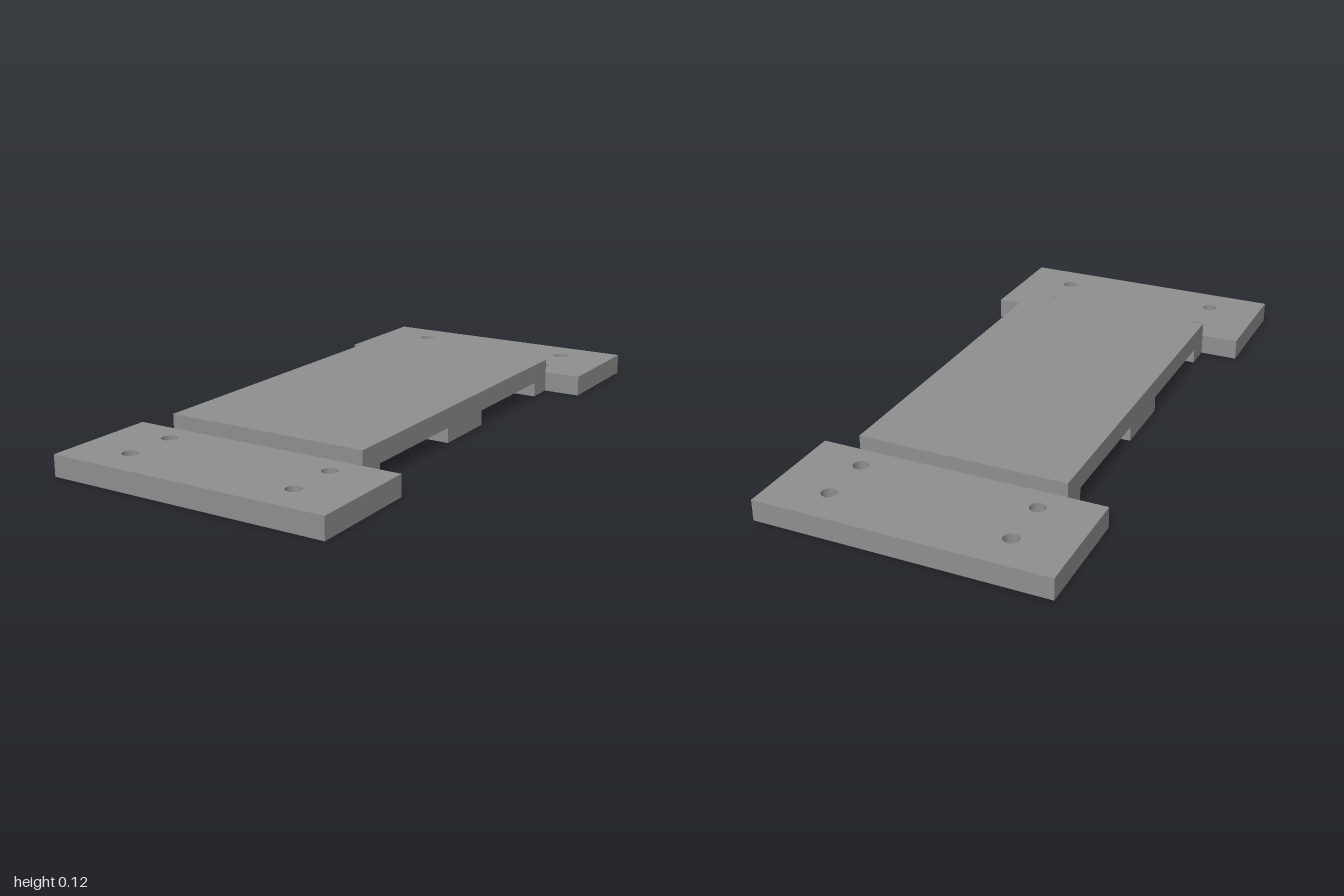
import * as THREE from 'three';

const material = new THREE.MeshStandardMaterial({ color: 0x8f8f8f });

function extrude(shape, depth) {
  return new THREE.ExtrudeGeometry(shape, { depth, bevelEnabled: false, curveSegments: 16 });
}

// Raised centre plate: side profile (z, y) with two grooves underneath
function makeDeck() {
  const width = 0.69, end = 0.618, top = 0.115, grooveTop = 0.05;
  const grooveOuter = 0.526, grooveInner = 0.115;
  const half = [
    [grooveInner, 0], [grooveInner, grooveTop], [grooveOuter, grooveTop],
    [grooveOuter, 0], [end, 0], [end, top],
  ];
  const mirrored = half.map(([z, y]) => [-z, y]).reverse();
  const profile = [...half, ...mirrored].map(([z, y]) => new THREE.Vector2(z, y));
  const geometry = extrude(new THREE.Shape(profile), width);
  geometry.translate(0, 0, -width / 2).rotateY(-Math.PI / 2);
  const deck = new THREE.Mesh(geometry, material);
  deck.name = 'deck';
  return deck;
}

// Wide mounting plate with four through holes
function makeMountingPlate(side) {
  const halfWidth = 0.472, inner = 0.618, outer = 1, thickness = 0.069;
  const shape = new THREE.Shape([
    new THREE.Vector2(-halfWidth, inner), new THREE.Vector2(halfWidth, inner),
    new THREE.Vector2(halfWidth, outer), new THREE.Vector2(-halfWidth, outer),
  ]);
  for (const x of [-0.29, 0.29]) {
    for (const z of [0.703, 0.876]) {
      const hole = new THREE.Path();
      hole.absarc(x, z, 0.025, 0, Math.PI * 2, true);
      shape.holes.push(hole);
    }
  }
  const geometry = extrude(shape, thickness).rotateX(-Math.PI / 2);
  const plate = new THREE.Mesh(geometry, material);
  plate.rotation.y = side > 0 ? Math.PI : 0;
  plate.name = side > 0 ? 'frontMountingPlate' : 'backMountingPlate';
  return plate;
}

export function createModel() {
  const model = new THREE.Group();
  model.name = 'mountingBracket';
  model.add(makeDeck(), makeMountingPlate(1), makeMountingPlate(-1));
  return model;
}
